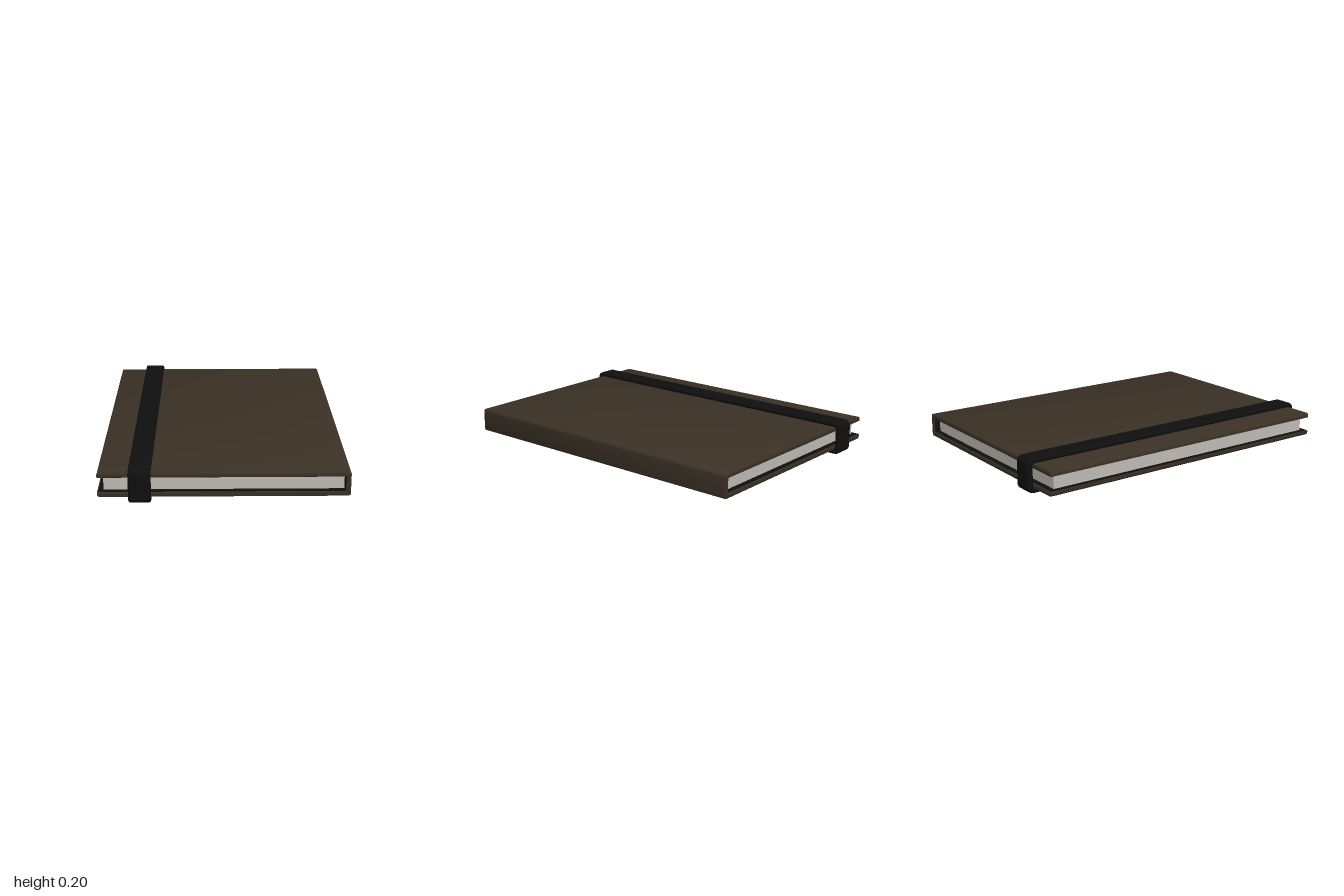
import * as THREE from 'three';
import { toCreasedNormals } from 'three/addons/utils/BufferGeometryUtils.js';

const material = (name, color) => {
  const m = new THREE.MeshStandardMaterial({ color });
  m.name = name;
  return m;
};

// Rectangle outline with rounded corners
function roundedRect(path, x0, y0, x1, y1, r) {
  path.moveTo(x0 + r, y0);
  path.lineTo(x1 - r, y0);
  path.absarc(x1 - r, y0 + r, r, -Math.PI / 2, 0);
  path.lineTo(x1, y1 - r);
  path.absarc(x1 - r, y1 - r, r, 0, Math.PI / 2);
  path.lineTo(x0 + r, y1);
  path.absarc(x0 + r, y1 - r, r, Math.PI / 2, Math.PI);
  path.lineTo(x0, y0 + r);
  path.absarc(x0 + r, y0 + r, r, Math.PI, Math.PI * 1.5);
  return path;
}

// Extrusion centred on z = 0 whose rounded edges stay inside the outline
function extrude(shape, length, bevel, segments) {
  const geometry = new THREE.ExtrudeGeometry(shape, {
    depth: length - 2 * bevel, bevelEnabled: bevel > 0, bevelSize: bevel, bevelThickness: bevel,
    bevelOffset: -bevel, bevelSegments: segments, curveSegments: 6,
  });
  geometry.translate(0, 0, bevel - length / 2);
  return toCreasedNormals(geometry, 0.7);
}

export function createModel() {
  const group = new THREE.Group();
  const leather = material('brown leather', 0x3b3126);
  const black = material('black elastic', 0x0f0f0f);
  const paper = material('paper', 0xbfbbb5);
  const add = (name, geometry, mat) => {
    const mesh = new THREE.Mesh(geometry, mat);
    mesh.name = name;
    group.add(mesh);
    return mesh;
  };

  // Cover: two boards joined by the spine at +x
  const L = -0.697, R = 0.697, B = 0.03, T = 0.172, t = 0.028, r = 0.014;
  const c = new THREE.Shape();
  c.moveTo(L + r, B);
  c.lineTo(R - r, B);
  c.absarc(R - r, B + r, r, -Math.PI / 2, 0);
  c.lineTo(R, T - r);
  c.absarc(R - r, T - r, r, 0, Math.PI / 2);
  c.lineTo(L + r, T);
  c.absarc(L + r, T - r, r, Math.PI / 2, Math.PI);
  c.lineTo(L, T - t);
  c.lineTo(R - t, T - t);
  c.lineTo(R - t, B + t);
  c.lineTo(L, B + t);
  c.lineTo(L, B + r);
  c.absarc(L + r, B + r, r, Math.PI, Math.PI * 1.5);
  add('cover', extrude(c, 1.93, 0.005, 2), leather);

  // Thin dark lining on the inside of the boards and spine
  const plate = 0.003, boardWidth = R - t - L - 0.006;
  for (const [name, y] of [['lowerLining', B + t], ['upperLining', T - t]]) {
    add(name, new THREE.BoxGeometry(boardWidth, plate, 1.915), black)
      .position.set((L + 0.006 + R - t) / 2, y, 0);
  }
  add('spineLining', new THREE.BoxGeometry(plate, T - B - 2 * t, 1.915), black)
    .position.set(R - t, (T + B) / 2, 0);

  // Page block, set back from the cover edges
  add('pages', new THREE.BoxGeometry(1.328, T - B - 2 * t, 1.85), paper)
    .position.set(0, (T + B) / 2, 0);

  // Elastic closure: a closed loop around the boards with rounded edges
  const loop = roundedRect(new THREE.Shape(), -1, 0, 1, 0.198, 0.036);
  loop.holes.push(roundedRect(new THREE.Path(), -0.964, 0.032, 0.964, 0.168, 0.008));
  const band = add('elasticBand', extrude(loop, 0.126, 0.015, 4), black);
  band.rotation.y = Math.PI / 2;
  band.position.x = -0.463;

  return group;
}
